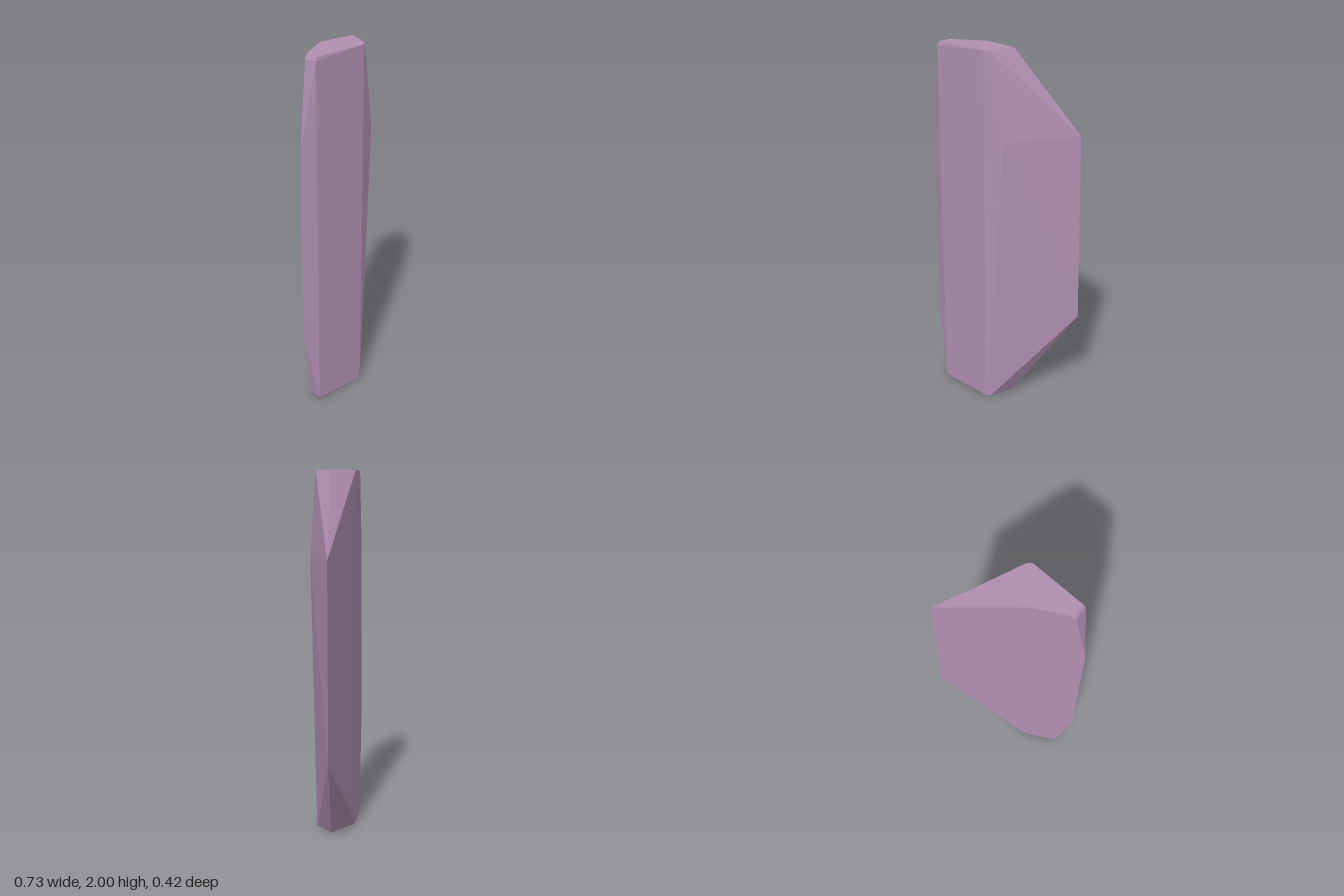
import * as THREE from 'three';
import { ConvexGeometry } from 'three/addons/geometries/ConvexGeometry.js';

// Outline of the flat cut at each end, as [x, z]
const capOutline = [
  [-0.285, 0.145], [-0.275, 0.207], [0.03, 0.18], [0.048, 0.16],
  [0.083, 0.022], [-0.12, 0.021], [-0.27, 0.125],
];

export function createModel() {
  const points = [];
  const add = (x, y, z) => points.push(new THREE.Vector3(x, y, z));

  // End cuts, with a small bevel on the narrow side
  for (const [end, inward] of [[0, 1], [2, -1]]) {
    for (const [x, z] of capOutline) add(x, end, z);
    add(-0.297, end + inward * 0.02, 0.142);
    add(-0.284, end + inward * 0.02, 0.212);
  }

  // Thin left and right edges of the shard
  add(-0.36, 1.55, 0.183);
  add(-0.365, 0.45, 0.186);
  add(0.35, 1.55, -0.2);
  add(0.36, 0.5, -0.212);

  // Front ridge corner and back bulge
  add(0.123, 1.53, 0.132);
  add(-0.145, 0.03, 0.027);

  const shard = new THREE.Mesh(
    new ConvexGeometry(points),
    new THREE.MeshStandardMaterial({ color: 0xb08fb0, flatShading: true }),
  );
  shard.name = 'crystalShard';

  const group = new THREE.Group();
  group.name = 'crystal';
  group.add(shard);
  return group;
}
